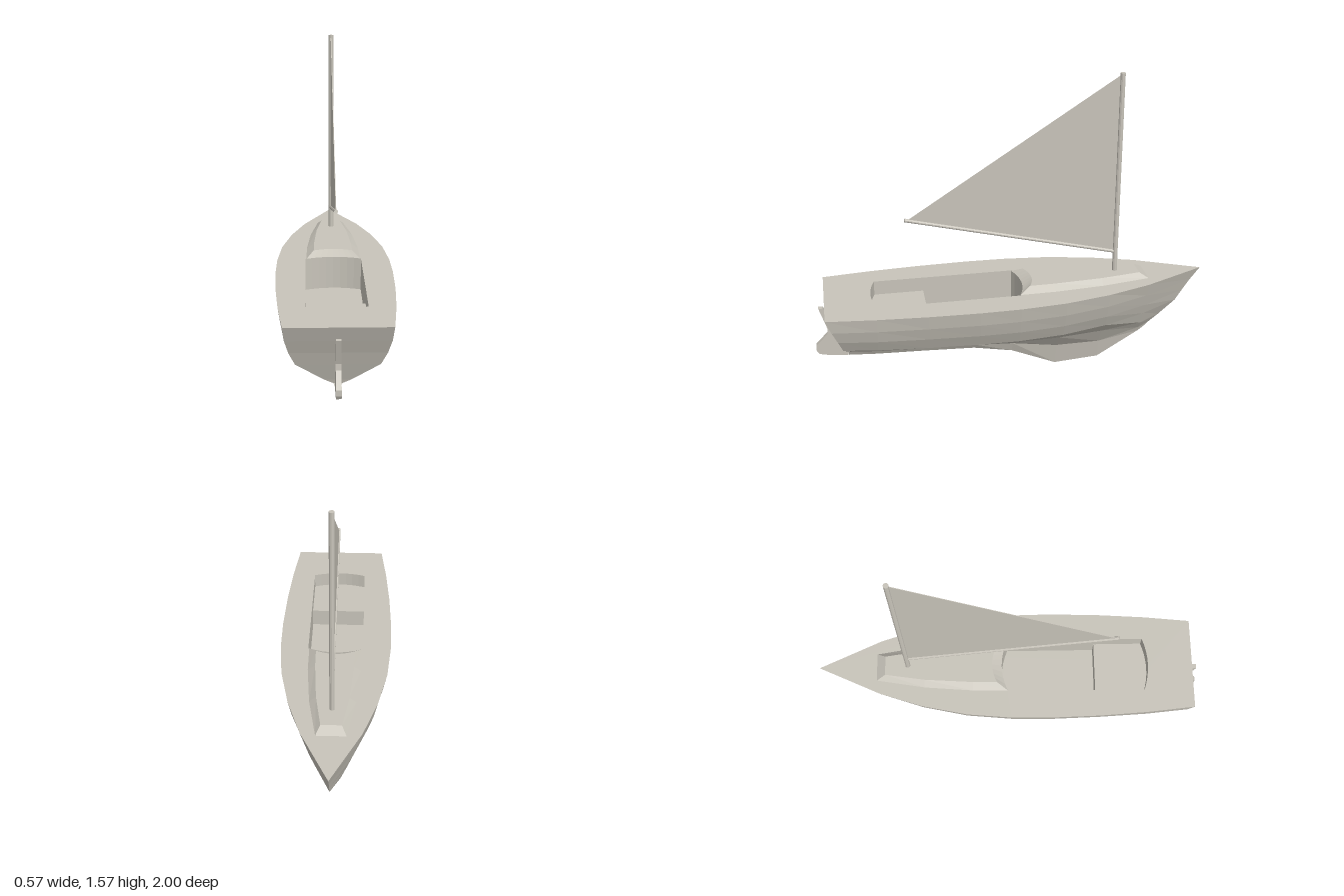
import * as THREE from 'three';

const DECK_Y = 0.495;
const hullWhite = new THREE.MeshStandardMaterial({ color: 0xc8c4ba, side: THREE.DoubleSide, flatShading: true });
hullWhite.name = 'hullWhite';

// Skin between successive closed loops of [x, y, z]; counterclockwise from above, top loop first
function loft(loops) {
  const pos = [];
  for (let r = 0; r < loops.length - 1; r++) {
    const A = loops[r], B = loops[r + 1], n = A.length;
    for (let i = 0; i < n; i++) {
      const j = (i + 1) % n;
      pos.push(...A[i], ...B[i], ...B[j], ...A[i], ...B[j], ...A[j]);
    }
  }
  const g = new THREE.BufferGeometry();
  g.setAttribute('position', new THREE.Float32BufferAttribute(pos, 3));
  g.computeVertexNormals();
  return g;
}

// Horizontal, upward-facing plate from [x, z] outlines
function plate(outline, y, hole) {
  const pts = (o) => o.map(([x, z]) => new THREE.Vector2(x, -z));
  const shape = new THREE.Shape(pts(outline));
  if (hole) shape.holes.push(new THREE.Path(pts(hole)));
  return new THREE.ShapeGeometry(shape).rotateX(-Math.PI / 2).translate(0, y, 0);
}

// Outline in the [z, y] plane, extruded symmetrically across x
function sidePanel(outline, thickness) {
  const shape = new THREE.Shape(outline.map(([z, y]) => new THREE.Vector2(z, y)));
  return new THREE.ExtrudeGeometry(shape, { depth: thickness, bevelEnabled: false })
    .rotateY(-Math.PI / 2).translate(thickness / 2, 0, 0);
}

// Round bar between two points on the centreline
function spar(z0, y0, z1, y1, radius) {
  const dz = z1 - z0, dy = y1 - y0;
  return new THREE.CylinderGeometry(radius, radius, Math.hypot(dz, dy), 10)
    .rotateX(Math.atan2(dz, dy)).translate(0, (y0 + y1) / 2, (z0 + z1) / 2);
}

// Half outline (stern to bow) mirrored into a full loop
const mirrorLoop = (half) => [
  ...half, ...half.slice().reverse().filter((p) => p[0] > 0).map(([x, ...rest]) => [-x, ...rest]),
];

// Shallow arc across the boat from x = a to x = b, bulging to zMid
function arc(a, b, zSide, zMid, n = 8) {
  return Array.from({ length: n + 1 }, (_, i) => {
    const t = i / n, s = 2 * t - 1;
    return [a + (b - a) * t, zMid + (zSide - zMid) * s * s];
  });
}

export function createModel() {
  const boat = new THREE.Group();
  boat.name = 'sailboat';
  const add = (name, geometry, parent = boat) => {
    const mesh = new THREE.Mesh(geometry, hullWhite);
    mesh.name = name;
    parent.add(mesh);
    return mesh;
  };

  // Hull: longitudinal lines from sheer to keel, each with stern z, bow z, half-widths and heights
  const stations = [0.7, 0.45, 0.2, 0, -0.23, -0.46, -0.68];
  const lines = [
    { stern: 0.945, bow: -1, x: [0.237, 0.262, 0.278, 0.285, 0.282, 0.262, 0.215, 0.145, 0], y: Array(9).fill(DECK_Y) },
    { stern: 0.917, bow: -0.95, x: [0.23, 0.25, 0.263, 0.27, 0.266, 0.245, 0.197, 0.122, 0],
      y: [0.425, 0.422, 0.42, 0.418, 0.417, 0.417, 0.419, 0.423, 0.43] },
    { stern: 0.89, bow: -0.91, x: [0.213, 0.23, 0.24, 0.246, 0.243, 0.22, 0.173, 0.1, 0],
      y: [0.36, 0.355, 0.35, 0.346, 0.344, 0.344, 0.348, 0.356, 0.37] },
    { stern: 0.868, bow: -0.875, x: [0.185, 0.198, 0.208, 0.213, 0.21, 0.188, 0.14, 0.075, 0],
      y: [0.298, 0.29, 0.283, 0.278, 0.275, 0.275, 0.28, 0.293, 0.315] },
    { stern: 0.838, bow: -0.79, x: [0.06, 0.065, 0.07, 0.075, 0.08, 0.085, 0.075, 0.045, 0],
      y: [0.215, 0.207, 0.201, 0.196, 0.192, 0.2, 0.212, 0.222, 0.24] },
    { stern: 0.832, bow: -0.74, x: [0.02, 0.02, 0.02, 0.022, 0.024, 0.025, 0.022, 0.012, 0],
      y: [0.195, 0.183, 0.175, 0.166, 0.155, 0.12, 0.12, 0.175, 0.2] },
    { stern: 0.842, bow: -0.71, x: [0.005, 0.005, 0.005, 0.005, 0.004, 0.003, 0.003, 0.002, 0],
      y: [0.165, 0.156, 0.148, 0.138, 0.1, 0.002, 0.018, 0.15, 0.172] },
  ];
  const loops = lines.map((l) => mirrorLoop(
    [l.stern, ...stations, l.bow].map((z, i) => [l.x[i], l.y[i], z])));
  add('hull', loft(loops));

  // Deck with the cockpit opening, its walls, floor and stern seat
  const well = [...arc(-0.14, 0.14, 0.69, 0.715), ...arc(0.14, -0.14, -0.02, -0.05)];
  add('deck', plate(loops[0].map(([x, , z]) => [x, z]), DECK_Y, well));
  const cockpit = new THREE.Group();
  cockpit.name = 'cockpit';
  boat.add(cockpit);
  const floorY = 0.33, seatY = 0.42, seatZ = 0.44;
  const inward = well.slice().reverse();
  add('cockpitWalls', loft([DECK_Y, floorY].map((y) => inward.map(([x, z]) => [x, y, z]))), cockpit);
  add('cockpitFloor', plate(well, floorY), cockpit);
  add('sternSeat', plate([...arc(-0.14, 0.14, 0.69, 0.715), [0.14, seatZ], [-0.14, seatZ]], seatY), cockpit);
  add('seatRiser', new THREE.PlaneGeometry(0.28, seatY - floorY)
    .rotateY(Math.PI).translate(0, (seatY + floorY) / 2, seatZ), cockpit);

  // Low cabin with sloping sides and a curved after end
  const cabinLoop = (sides, zMid) => {
    const half = sides.slice(1);
    return [...arc(-sides[0][0], sides[0][0], sides[0][1], zMid), ...half,
      ...half.slice().reverse().map(([x, z]) => [-x, z])];
  };
  const base = cabinLoop([[0.135, -0.02], [0.133, -0.2], [0.113, -0.45], [0.072, -0.7]], -0.05);
  const roof = cabinLoop([[0.098, -0.075], [0.096, -0.2], [0.08, -0.45], [0.05, -0.655]], -0.1);
  const roofY = 0.522;
  const cabin = new THREE.Group();
  cabin.name = 'cabin';
  boat.add(cabin);
  add('cabinSides', loft([roof.map(([x, z]) => [x, roofY, z]), base.map(([x, z]) => [x, DECK_Y, z])]), cabin);
  add('cabinRoof', plate(roof, roofY), cabin);

  // Mast, boom and sail
  add('mast', spar(-0.537, 0.5, -0.537, 1.568, 0.013));
  add('boom', spar(-0.53, 0.63, 0.53, 0.886, 0.009));
  add('sail', sidePanel([[-0.53, 0.635], [0.51, 0.888], [-0.53, 1.558]], 0.003));

  // Rudder hung behind the raked stern
  add('rudder', sidePanel([
    [0.845, 0.168], [0.965, 0.183], [0.99, 0.192], [1, 0.21], [1, 0.237], [0.94, 0.3],
    [0.938, 0.33], [0.975, 0.447], [0.953, 0.447], [0.935, 0.41], [0.832, 0.215],
  ], 0.024));

  return boat;
}
